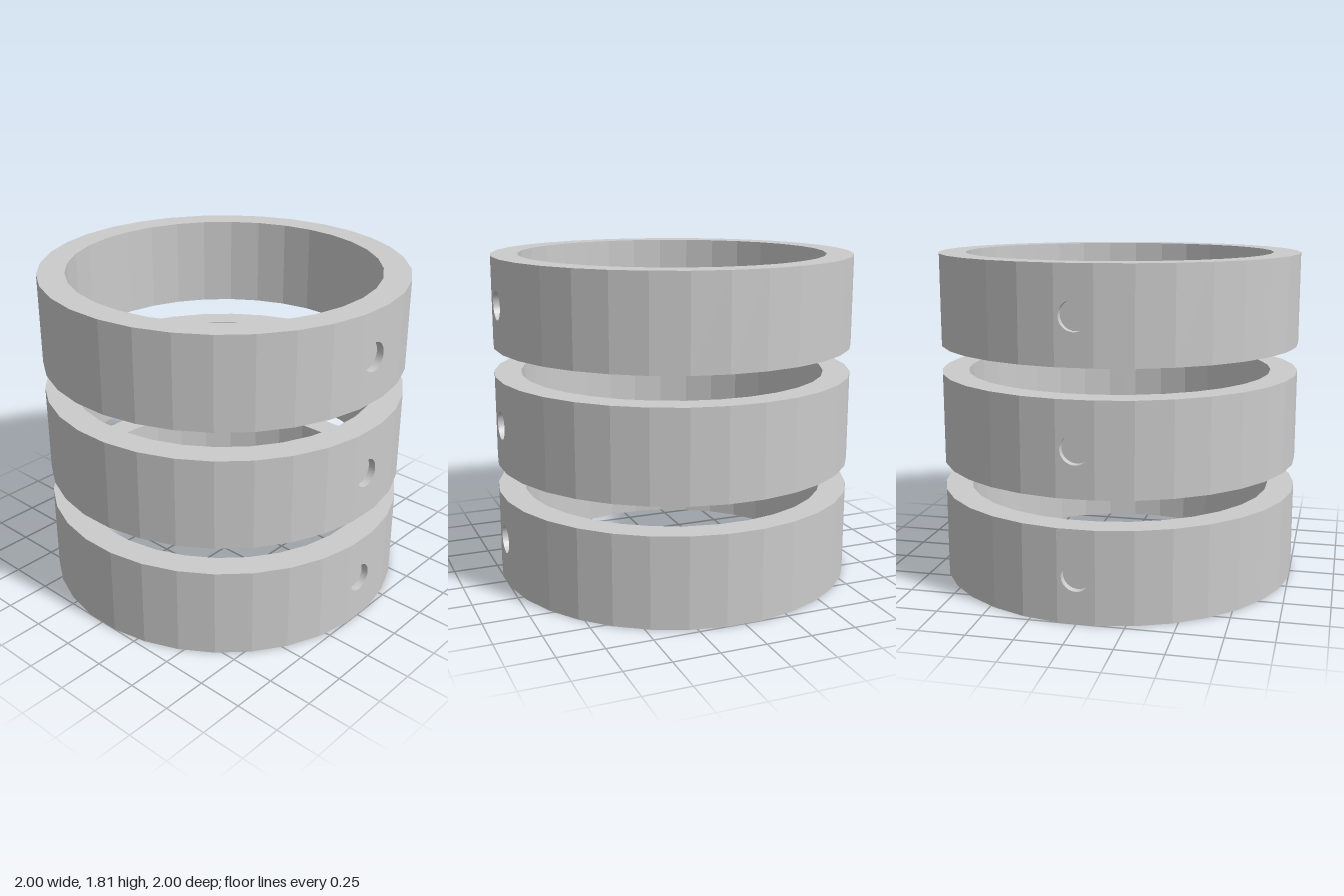
import * as THREE from 'three';

const SIDES = 32, STEP = (Math.PI * 2) / SIDES;
const toCorner = 1 / Math.cos(STEP / 2);
const OUTER = 1 * toCorner, INNER = 0.852 * toCorner;
const HEIGHT = 0.5, PITCH = 0.655, HOLE_R = 0.078, HOLE_DEPTH = 0.04;

const flat = new THREE.MeshStandardMaterial({ color: 0xcccccc, flatShading: true });
const bore = new THREE.MeshStandardMaterial({ color: 0xcccccc, side: THREE.DoubleSide });

function add(parent, name, geometry, material = flat) {
  const mesh = new THREE.Mesh(geometry, material);
  mesh.name = name;
  parent.add(mesh);
  return mesh;
}

// One flat facet on the +x side with a shallow round socket sunk into it
function socketFacet() {
  const g = new THREE.Group();
  const w = OUTER * Math.sin(STEP / 2), h = HEIGHT / 2;
  const plate = new THREE.Shape([[-w, -h], [w, -h], [w, h], [-w, h]].map(p => new THREE.Vector2(...p)));
  plate.holes.push(new THREE.Path().absarc(0, 0, HOLE_R, 0, Math.PI * 2, true));
  add(g, 'socketPlate', new THREE.ShapeGeometry(plate, 16).rotateY(Math.PI / 2).translate(1, 0, 0));
  add(g, 'socketWall', new THREE.CylinderGeometry(HOLE_R, HOLE_R, HOLE_DEPTH, 32, 1, true)
    .rotateZ(Math.PI / 2).translate(1 - HOLE_DEPTH / 2, 0, 0), bore);
  add(g, 'socketFloor', new THREE.CircleGeometry(HOLE_R, 32)
    .rotateY(Math.PI / 2).translate(1 - HOLE_DEPTH, 0, 0));
  return g;
}

function ring() {
  const g = new THREE.Group();
  const h = HEIGHT / 2;
  // Top rim, inner wall and bottom rim
  const profile = [[OUTER, h], [INNER, h], [INNER, -h], [OUTER, -h]].map(p => new THREE.Vector2(...p));
  add(g, 'innerWallAndRims', new THREE.LatheGeometry(profile, SIDES, STEP / 2));
  // Outer wall in two arcs, leaving one facet open on each side for the sockets
  for (const turn of [0, Math.PI]) {
    add(g, 'outerWall', new THREE.CylinderGeometry(OUTER, OUTER, HEIGHT, SIDES / 2 - 1, 1, true,
      Math.PI / 2 + STEP / 2 + turn, Math.PI - STEP));
    const facet = socketFacet();
    facet.name = turn ? 'rightSocket' : 'leftSocket';
    facet.rotation.y = turn;
    g.add(facet);
  }
  return g;
}

export function createModel() {
  const model = new THREE.Group();
  model.name = 'ringStack';
  ['lowerRing', 'middleRing', 'upperRing'].forEach((name, i) => {
    const r = ring();
    r.name = name;
    r.position.y = HEIGHT / 2 + i * PITCH;
    model.add(r);
  });
  return model;
}
